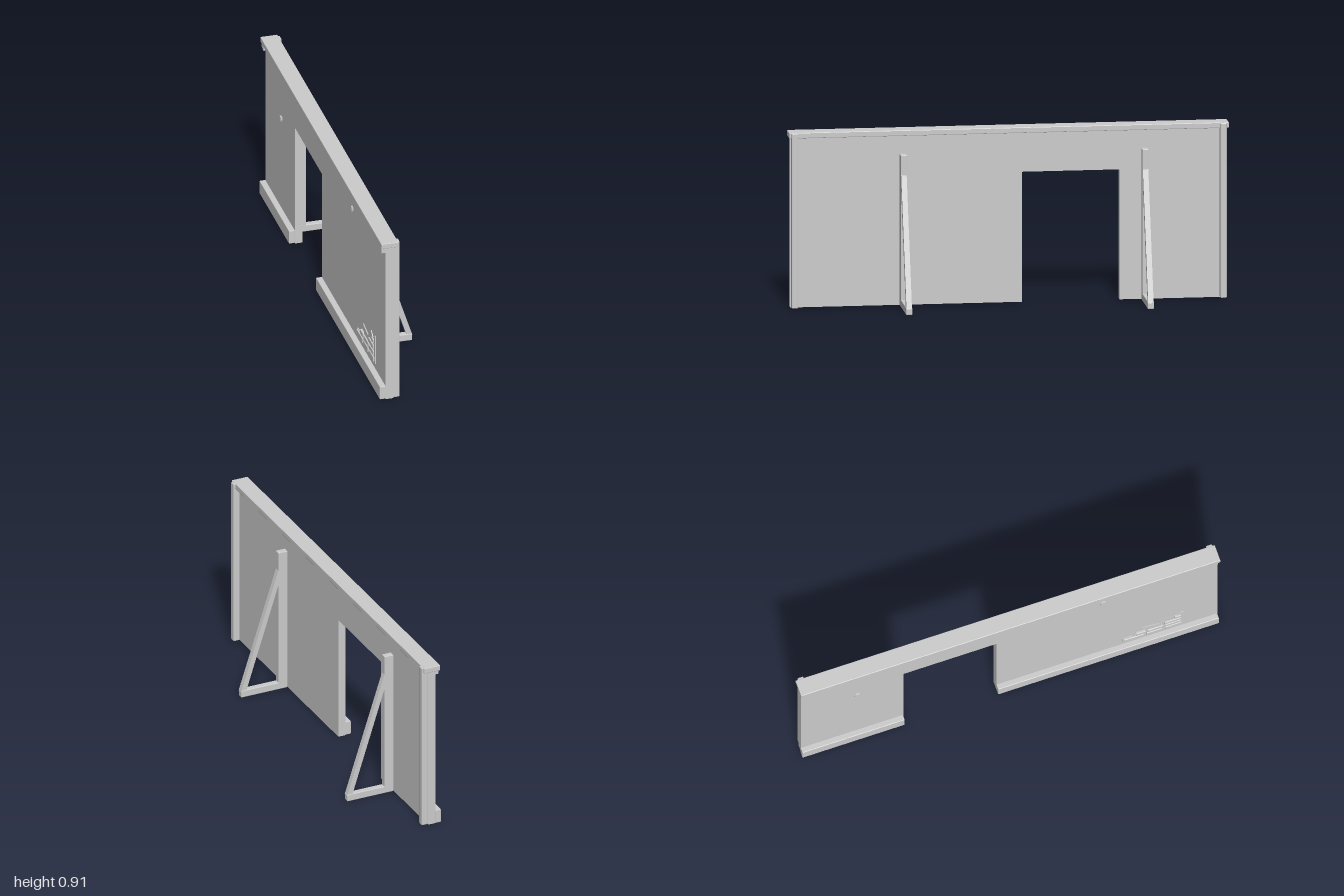
import * as THREE from 'three';
import { RoundedBoxGeometry } from 'three/addons/geometries/RoundedBoxGeometry.js';

export function createModel() {
  const model = new THREE.Group();
  model.name = 'wallSection';
  const plaster = new THREE.MeshStandardMaterial({ color: 0xcccccc, flatShading: true });
  plaster.name = 'plainGrey';

  const add = (name, geometry, parent) => {
    const mesh = new THREE.Mesh(geometry, plaster);
    mesh.name = name;
    parent.add(mesh);
    return mesh;
  };
  // Lightly chamfered block given by its extents on each axis
  const block = (name, x0, x1, y0, y1, z0, z1, parent, bevel = 0.003) => {
    const geometry = new RoundedBoxGeometry(x1 - x0, y1 - y0, z1 - z0, 1, bevel);
    geometry.translate((x0 + x1) / 2, (y0 + y1) / 2, (z0 + z1) / 2);
    return add(name, geometry, parent);
  };
  // Flat outline pushed forward along z
  const plate = (name, points, z, depth, parent) => {
    const shape = new THREE.Shape(points.map(([x, y]) => new THREE.Vector2(x, y)));
    const geometry = new THREE.ExtrudeGeometry(shape, { depth, bevelEnabled: false });
    geometry.translate(0, 0, z);
    return add(name, geometry, parent);
  };

  // The wall is built along x, facing +z, then turned
  const wall = new THREE.Group();
  wall.name = 'wall';
  wall.rotation.y = -Math.PI / 3;
  model.add(wall);

  // Panel with doorway
  plate('panel', [
    [-1.12, 0.003], [-0.57, 0.003], [-0.57, 0.677], [-0.07, 0.677],
    [-0.07, 0.003], [1.12, 0.003], [1.12, 0.89], [-1.12, 0.89],
  ], -0.02, 0.04, wall);

  // Cap beam and skirting
  block('capBeam', -1.128, 1.128, 0.883, 0.912, -0.045, 0.045, wall);
  block('skirting', -1.123, -0.573, 0.004, 0.078, 0.019, 0.051, wall);
  block('skirting', -0.07, 1.118, 0.004, 0.078, 0.019, 0.051, wall);

  for (const side of [-1, 1]) {
    const x0 = side < 0 ? -1.116 : 1.083;
    // Rear end posts
    block('endPost', x0, x0 + 0.033, 0.003, 0.911, -0.055, -0.018, wall, 0.005);
    // Front corbels under the cap, with a sloping underside
    const corbel = new THREE.BoxGeometry(0.032, 0.036, 0.022);
    const p = corbel.attributes.position;
    for (let i = 0; i < p.count; i++) {
      if (p.getY(i) < 0 && p.getX(i) < 0) p.setY(i, p.getY(i) + 0.006);
    }
    corbel.translate(x0 + 0.0165, 0.871, 0.03);
    corbel.computeVertexNormals();
    add('corbel', corbel, wall);
  }

  // Triangular braces behind the wall
  for (const x of [0.543, -0.697]) {
    const brace = new THREE.Group();
    brace.name = 'brace';
    brace.position.x = x;
    wall.add(brace);
    block('braceStud', -0.016, 0.016, 0.003, 0.787, -0.07, -0.018, brace);
    block('braceFoot', -0.016, 0.016, 0, 0.038, -0.28, -0.02, brace);
    // Leaning strut, its profile drawn in the (-z, y) plane
    const strut = plate('braceStrut', [
      [0.068, 0.69], [0.068, 0.605], [0.252, 0.03], [0.281, 0.03],
    ], -0.014, 0.028, brace);
    strut.rotation.y = Math.PI / 2;
  }

  // Small chips on the front face
  for (const [x, y] of [[-0.82, 0.598], [0.503, 0.782]]) {
    const w = 0.013, h = 0.014;
    plate('chip', [
      [x - w, y - h], [x + w * 0.7, y - h], [x + w, y - h * 0.3],
      [x + w, y + h], [x - w * 0.5, y + h], [x - w, y + h * 0.5],
    ], 0.018, 0.011, wall);
  }

  // Patch of exposed brickwork
  const patch = new THREE.Group();
  patch.name = 'brickPatch';
  wall.add(patch);
  plate('patchBacking', [
    [0.61, 0.111], [0.94, 0.111], [0.94, 0.268], [0.925, 0.268], [0.895, 0.24],
    [0.858, 0.265], [0.805, 0.207], [0.715, 0.226], [0.735, 0.18],
    [0.68, 0.176], [0.66, 0.15], [0.61, 0.147],
  ], 0.018, 0.007, patch);
  const rows = [
    [0.117, 0.145, [[0.615, 0.725], [0.737, 0.823], [0.835, 0.925]]],
    [0.152, 0.179, [[0.68, 0.732], [0.742, 0.825], [0.835, 0.922]]],
    [0.187, 0.213, [[0.832, 0.922]]],
    [0.222, 0.246, [[0.888, 0.922]]],
  ];
  for (const [y0, y1, bricks] of rows) {
    for (const [x0, x1] of bricks) block('brick', x0, x1, y0, y1, 0.016, 0.032, patch);
  }

  return model;
}
